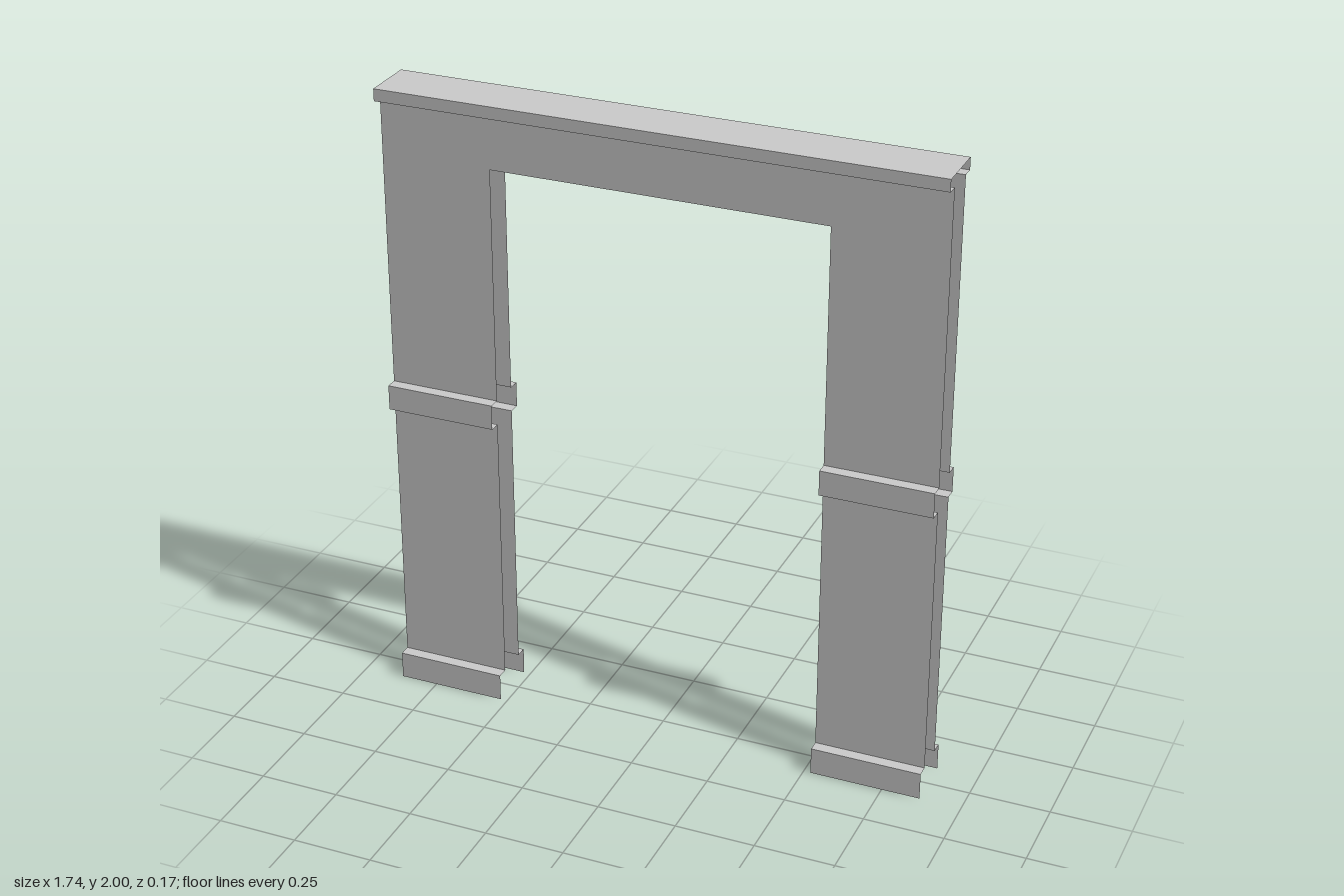
import * as THREE from 'three';

const WALL = 0.049, TRIM = 0.086; // half depths
const OUTER = 0.87, INNER = 0.522;

const material = new THREE.MeshStandardMaterial({ color: 0xcccccc, flatShading: true, side: THREE.DoubleSide });

// Sweeps a front profile of [z, y] points, mirrored over to the back, along x as an open sheet
function sheet(name, front, x0, x1) {
  const section = [...front, ...front.map(([z, y]) => [-z, y]).reverse()];
  const pos = [];
  for (let i = 0; i < section.length - 1; i++) {
    const [za, ya] = section[i], [zb, yb] = section[i + 1];
    pos.push(x0, ya, za, x1, ya, za, x1, yb, zb);
    pos.push(x0, ya, za, x1, yb, zb, x0, yb, zb);
  }
  const geometry = new THREE.BufferGeometry();
  geometry.setAttribute('position', new THREE.Float32BufferAttribute(pos, 3));
  geometry.computeVertexNormals();
  const mesh = new THREE.Mesh(geometry, material);
  mesh.name = name;
  return mesh;
}

export function createModel() {
  const group = new THREE.Group();
  group.name = 'doorway';

  // Top cap shared by the legs and the lintel
  const cap = [[WALL, 1.962], [TRIM, 1.962], [TRIM, 2]];

  // Leg profile: base board, wall, middle rail, wall, cap
  const leg = [
    [TRIM, 0], [TRIM, 0.087], [WALL, 0.087],
    [WALL, 0.963], [TRIM, 0.963], [TRIM, 1.043], [WALL, 1.043],
    ...cap,
  ];
  group.add(sheet('leftLeg', leg, INNER, OUTER));
  group.add(sheet('rightLeg', leg, -OUTER, -INNER));

  // Lintel above the opening, open underneath
  group.add(sheet('lintel', [[WALL, 1.79], ...cap], -INNER, INNER));

  return group;
}
